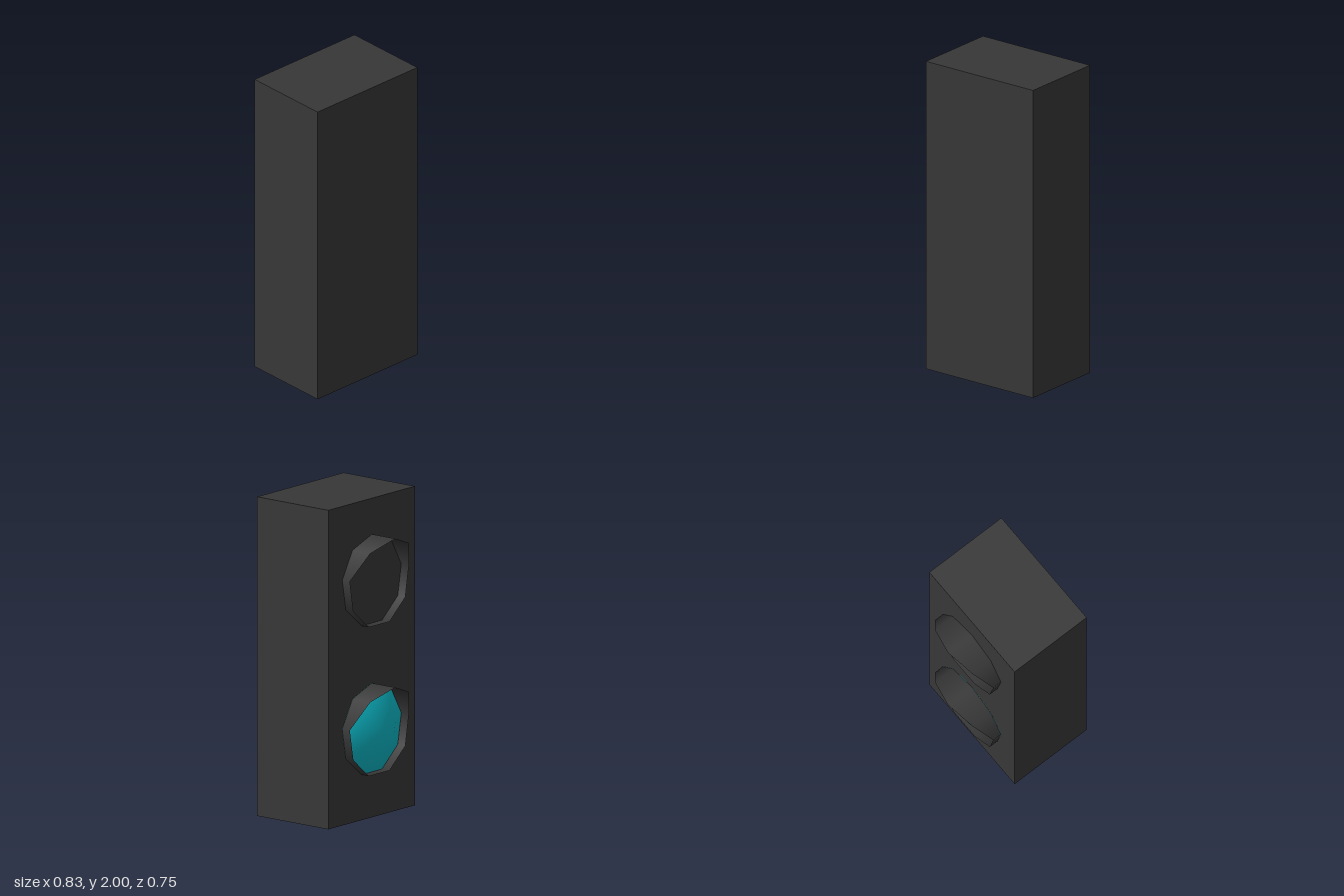
import * as THREE from 'three';

const SIDES = 9;
const RADIUS = 0.287;
const BACK = -0.189; // plane of the signal side of the housing

// Open nine-sided hood whose rim reaches out furthest at the top
function hoodGeometry() {
  const reach = [0.187, 0.141, 0.061]; // by steps away from the top corner
  const geo = new THREE.CylinderGeometry(RADIUS, RADIUS, 1, SIDES, 1, true);
  const pos = geo.attributes.position;
  for (let i = 0; i < pos.count; i++) {
    const col = i % (SIDES + 1);
    const steps = Math.min(col, SIDES - col, 2);
    pos.setY(i, pos.getY(i) > 0 ? reach[steps] : 0.001);
  }
  return geo.rotateX(-Math.PI / 2);
}

// Shallow smooth-shaded lens, one ring from rim to centre
function lensGeometry() {
  const height = 0.088;
  const r = (RADIUS ** 2 + height ** 2) / (2 * height);
  const geo = new THREE.SphereGeometry(r, SIDES, 1, Math.PI / 2, Math.PI * 2, 0, Math.asin(RADIUS / r));
  return geo.translate(0, height - r, 0).rotateX(-Math.PI / 2);
}

export function createModel() {
  const housingMat = new THREE.MeshStandardMaterial({ color: 0x373737 });
  housingMat.name = 'charcoal';
  housingMat.side = THREE.DoubleSide;
  const lensMat = new THREE.MeshStandardMaterial({ color: 0x0cbccb });
  lensMat.name = 'cyan';

  const model = new THREE.Group();
  model.name = 'signalLight';
  const add = (name, geo, mat, y, z) => {
    const mesh = new THREE.Mesh(geo, mat);
    mesh.name = name;
    mesh.position.set(0, y, z);
    model.add(mesh);
  };

  // Housing
  const depth = 0.375 - BACK;
  add('housing', new THREE.BoxGeometry(0.83, 2, depth), housingMat, 1, BACK + depth / 2);

  // Hoods, with the lit lens in the lower one
  const upperY = 1.488, lowerY = 0.555;
  const hood = hoodGeometry();
  add('upperHood', hood, housingMat, upperY, BACK);
  add('lowerHood', hood, housingMat, lowerY, BACK);
  add('lowerLens', lensGeometry(), lensMat, lowerY, BACK);

  return model;
}
